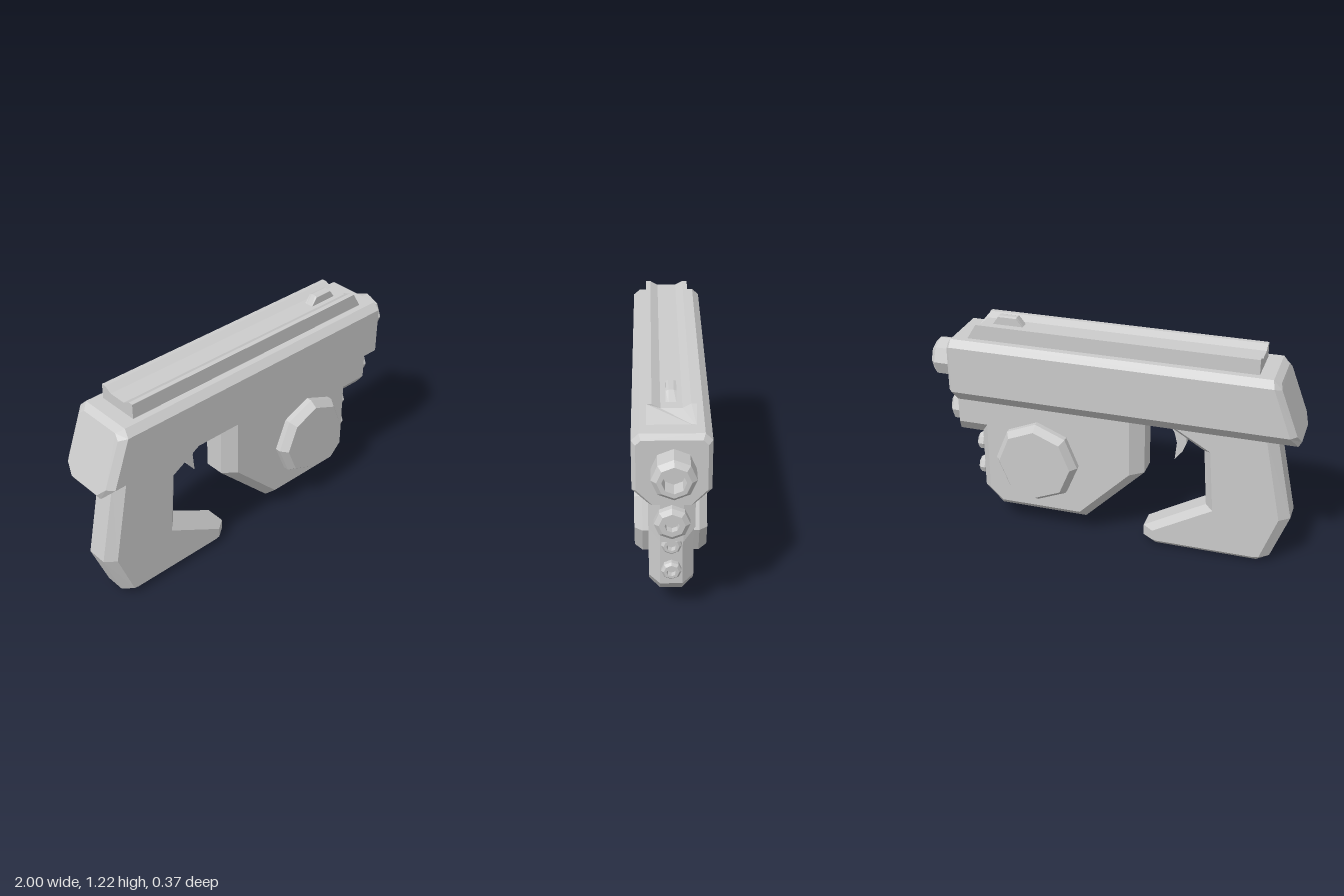
import * as THREE from 'three';

const material = new THREE.MeshStandardMaterial({ color: 0xcccccc, flatShading: true, side: THREE.DoubleSide });

// Skin a row of [x,y,z] loops stacked along an axis (0 = x, 2 = z) and cap both ends.
// Loops run anticlockwise seen from the positive end of the axis.
function loft(loops, axis) {
  const u = (axis + 1) % 3, v = (axis + 2) % 3, n = loops[0].length, pos = [];
  const tri = (a, b, c) => pos.push(...a, ...b, ...c);
  for (let k = 0; k < loops.length - 1; k++) {
    for (let i = 0; i < n; i++) {
      const j = (i + 1) % n, A = loops[k], B = loops[k + 1];
      tri(A[i], A[j], B[j]);
      tri(A[i], B[j], B[i]);
    }
  }
  const cap = (loop, sign) => {
    const flat = loop.map(p => new THREE.Vector2(p[u], p[v]));
    for (const [a, b, c] of THREE.ShapeUtils.triangulateShape(flat, [])) {
      const area = THREE.ShapeUtils.area([flat[a], flat[b], flat[c]]);
      if (area * sign > 0) tri(loop[a], loop[b], loop[c]);
      else tri(loop[a], loop[c], loop[b]);
    }
  };
  cap(loops[0], -1);
  cap(loops[loops.length - 1], 1);
  const g = new THREE.BufferGeometry();
  g.setAttribute('position', new THREE.Float32BufferAttribute(pos, 3));
  g.computeVertexNormals();
  return g;
}

// Chamfered plate: outer outline in the middle, inner outline on the two side faces.
function slab(outer, inner, edgeZ, faceZ) {
  const at = (pts, z) => pts.map(([x, y]) => [x, y, z]);
  return loft([at(inner, -faceZ), at(outer, -edgeZ), at(outer, edgeZ), at(inner, faceZ)], 2);
}

// Half section of [x,y,z] points from top to bottom, mirrored into a full loop.
const mirrored = half => [...half, ...half.map(([x, y, z]) => [x, y, -z]).reverse()];

// Octagonal nozzle along +x with a blind bore; profile is [radius, x].
function nozzle(profile) {
  const g = new THREE.LatheGeometry(profile.map(([r, x]) => new THREE.Vector2(r, x)), 8);
  return g.rotateZ(-Math.PI / 2);
}

export function createModel() {
  const model = new THREE.Group();
  const add = (name, geometry, x = 0, y = 0, z = 0) => {
    const mesh = new THREE.Mesh(geometry, material);
    mesh.name = name;
    mesh.position.set(x, y, z);
    model.add(mesh);
  };

  // Upper housing with slanted, chamfered rear
  add('upperHousing', loft([
    mirrored([[-0.88, 1.085, 0.12], [-0.89, 1.06, 0.15], [-0.981, 0.82, 0.15], [-1.0, 0.77, 0.1]]),
    mirrored([[-0.845, 1.11, 0.15], [-0.855, 1.075, 0.185], [-0.95, 0.82, 0.185], [-0.985, 0.745, 0.11]]),
    mirrored([[0.85, 1.11, 0.15], [0.85, 1.075, 0.185], [0.85, 0.82, 0.185], [0.85, 0.745, 0.11]]),
    mirrored([[0.87, 1.085, 0.14], [0.87, 1.06, 0.165], [0.87, 0.825, 0.165], [0.87, 0.745, 0.09]]),
  ], 0));

  // Lower housing with stepped nose
  add('lowerHousing', slab(
    [[-0.18, 0.75], [-0.18, 0.43], [0.15, 0.1], [0.64, 0.1], [0.74, 0.2], [0.74, 0.54], [0.87, 0.54], [0.87, 0.75]],
    [[-0.11, 0.75], [-0.11, 0.43], [0.17, 0.15], [0.62, 0.15], [0.69, 0.22], [0.69, 0.61], [0.85, 0.61], [0.85, 0.75]],
    0.055, 0.11));

  // Grip with forward-reaching foot
  add('grip', slab(
    [[-0.875, 0.75], [-0.97, 0.29], [-0.875, 0.04], [-0.805, 0], [-0.25, 0], [-0.18, 0.04], [-0.18, 0.1],
      [-0.52, 0.295], [-0.5, 0.615], [-0.275, 0.75]],
    [[-0.825, 0.75], [-0.915, 0.29], [-0.825, 0.045], [-0.8, 0.04], [-0.26, 0.04], [-0.24, 0.045], [-0.24, 0.1],
      [-0.565, 0.285], [-0.54, 0.635], [-0.34, 0.75]],
    0.055, 0.1));

  // Curved trigger
  const trigger = [[-0.4, 0.72], [-0.395, 0.62], [-0.375, 0.57], [-0.335, 0.52], [-0.345, 0.62],
    [-0.33, 0.68], [-0.28, 0.75], [-0.37, 0.75]];
  add('trigger', slab(trigger, trigger, 0.01, 0.022));

  // Octagonal side drums
  for (const side of [1, -1]) {
    const drum = new THREE.LatheGeometry(
      [[0.23, 0], [0.23, 0.14], [0.2, 0.18], [0, 0.18]].map(([r, h]) => new THREE.Vector2(r, h)), 8);
    drum.rotateX(side * Math.PI / 2);
    add(side > 0 ? 'leftDrum' : 'rightDrum', drum, 0.4, 0.44, 0);
  }

  // Grooved top rail with sloping front
  const railLoop = (top, bottom) => mirrored([
    [top, 1.168, 0.05], [top, 1.19, 0.09], [top, 1.19, 0.115], [bottom, 1.1, 0.115]]);
  add('topRail', loft([railLoop(-0.77, -0.77), railLoop(0.72, 0.775)], 0));

  // Front sight
  add('frontSight', slab(
    [[0.49, 1.16], [0.665, 1.16], [0.63, 1.215], [0.53, 1.215]],
    [[0.49, 1.16], [0.665, 1.16], [0.63, 1.21], [0.53, 1.21]], 0.012, 0.025));

  // Muzzle and the smaller ports below it
  add('muzzle', nozzle([[0.09, -0.01], [0.105, 0.01], [0.105, 0.105], [0.08, 0.13], [0.057, 0.13],
    [0.057, 0.05], [0, 0.05]]), 0.87, 0.943, -0.007);
  add('middlePort', nozzle([[0.085, -0.01], [0.085, 0.03], [0.062, 0.047], [0.035, 0.047],
    [0.035, 0.012], [0, 0.012]]), 0.87, 0.66, 0);
  for (const y of [0.45, 0.3]) {
    add('lowerPort', nozzle([[0.035, -0.01], [0.05, 0.01], [0.05, 0.032], [0.038, 0.045], [0.024, 0.045],
      [0.024, 0.015], [0, 0.015]]), 0.74, y, 0);
  }

  return model;
}
